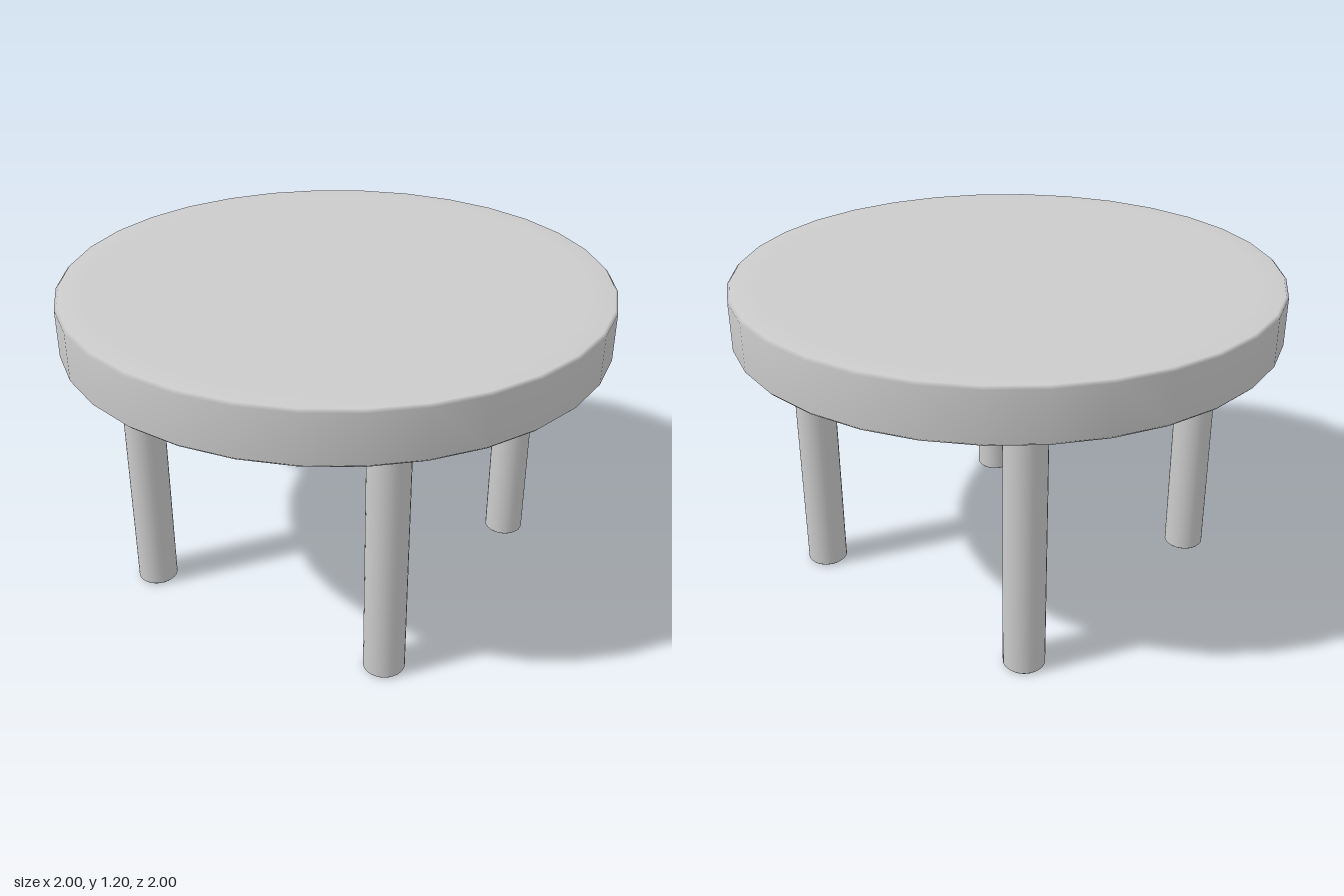
import * as THREE from 'three';

const material = new THREE.MeshStandardMaterial({ color: 0xcccccc });

// Solid disc or post with a small bevel on both rims and softly shaded edges
function bevelledCylinder(radius, bottom, top, bevel, sides) {
  const profile = [
    [0, bottom], [radius * 0.9, bottom], [radius - bevel, bottom],
    [radius, bottom + bevel], [radius, top - bevel],
    [radius - bevel, top], [radius * 0.9, top], [0, top],
  ].map(([r, y]) => new THREE.Vector2(r, y));
  return new THREE.LatheGeometry(profile, sides);
}

export function createModel() {
  const table = new THREE.Group();
  table.name = 'roundTable';

  // Round top
  const top = new THREE.Mesh(bevelledCylinder(1, 1.005, 1.2, 0.01, 32), material);
  top.name = 'tableTop';
  table.add(top);

  // Four legs on a ring, turned slightly off the axes
  const legGeometry = bevelledCylinder(0.075, 0, 1.015, 0.007, 32);
  const names = ['frontLeg', 'leftLeg', 'backLeg', 'rightLeg'];
  names.forEach((name, i) => {
    const angle = -0.045 + i * Math.PI / 2;
    const leg = new THREE.Mesh(legGeometry, material);
    leg.name = name;
    leg.position.set(0.73 * Math.sin(angle), 0, 0.73 * Math.cos(angle));
    table.add(leg);
  });

  return table;
}
